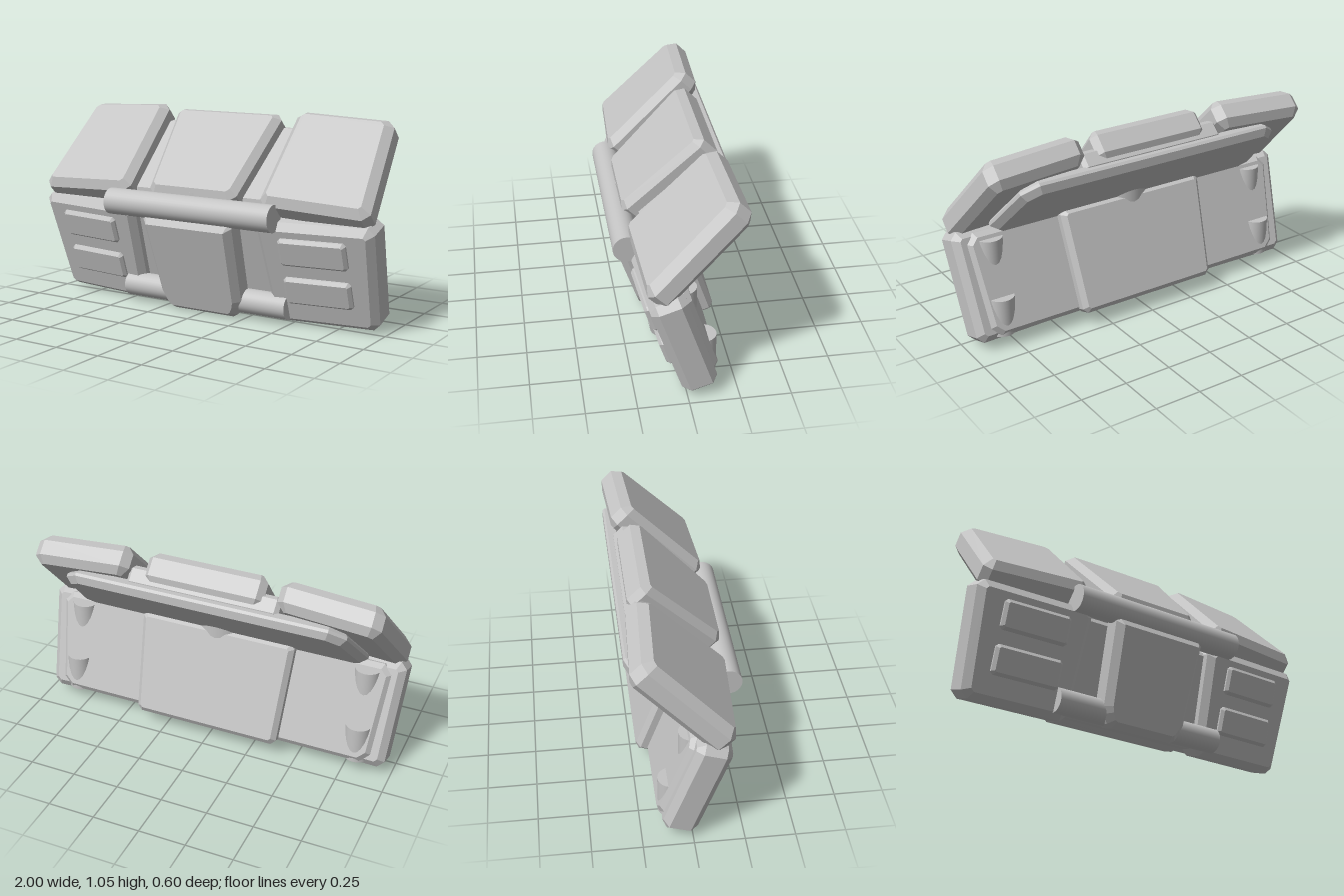
import * as THREE from 'three';

// Chamfered slab: trapezoid outline in x/y, depth z0..z1, corners cut by `cut`, rims bevelled by `bevel`.
function slab(pts, z0, z1, bevel, cut = bevel) {
  const shape = new THREE.Shape();
  pts.forEach(([x, y], i) => {
    const p = new THREE.Vector2(x, y);
    const toward = (q) => {
      const d = new THREE.Vector2(q[0], q[1]).sub(p);
      return p.clone().add(d.setLength(cut));
    };
    const a = toward(pts[(i + pts.length - 1) % pts.length]);
    const b = toward(pts[(i + 1) % pts.length]);
    if (i === 0) shape.moveTo(a.x, a.y); else shape.lineTo(a.x, a.y);
    shape.lineTo(b.x, b.y);
  });
  shape.closePath();
  const g = new THREE.ExtrudeGeometry(shape, {
    depth: z1 - z0 - 2 * bevel, bevelEnabled: true, bevelSegments: 1,
    bevelThickness: bevel, bevelSize: bevel, bevelOffset: -bevel,
  });
  g.translate(0, 0, z0 + bevel);
  return g;
}

// Symmetric outline: half width at the bottom and at the top
const trapezoid = (wb, wt, y0, y1) => [[-wb, y0], [wb, y0], [wt, y1], [-wt, y1]];

// Sweep side parts gently backwards towards their outer ends
function sweep(g, slope = 0.065) {
  const p = g.attributes.position;
  for (let i = 0; i < p.count; i++) {
    p.setZ(i, p.getZ(i) - slope * (Math.abs(p.getX(i)) - 0.4));
  }
  g.computeVertexNormals();
  return g;
}

export function createModel() {
  const model = new THREE.Group();
  model.name = 'hingedArmorCase';
  const grey = new THREE.MeshStandardMaterial({ color: 0xc4c4c4 });
  grey.name = 'lightGrey';

  const add = (parent, name, geometry) => {
    const m = new THREE.Mesh(geometry, grey);
    m.name = name;
    parent.add(m);
    return m;
  };

  // Lower half leans forward, upper half leans back
  const lower = new THREE.Group();
  lower.name = 'lowerHalf';
  lower.rotation.x = THREE.MathUtils.degToRad(18.7);
  const upper = new THREE.Group();
  upper.name = 'upperHalf';
  upper.rotation.x = -Math.PI / 4;
  model.add(lower, upper);

  // Central structure
  add(lower, 'lowerCore', slab(trapezoid(0.5, 0.5, 0.03, 0.55), -0.16, -0.02, 0.02));
  add(lower, 'backSlab', slab(trapezoid(0.89, 0.94, 0.015, 0.555), -0.19, -0.11, 0.025, 0.05));
  add(lower, 'backBox', slab(trapezoid(0.4, 0.43, 0.005, 0.56), -0.25, -0.13, 0.025));
  add(lower, 'frontClasp', slab(
    [[-0.2, 0.02], [0.2, 0.02], [0.245, 0.1], [0.27, 0.57], [-0.27, 0.57], [-0.245, 0.1]],
    -0.03, 0.118, 0.035, 0.02));

  add(upper, 'upperCore', slab(trapezoid(0.41, 0.41, 0.33, 0.83), 0.44, 0.55, 0.02));
  add(upper, 'innerPlate', slab(trapezoid(0.82, 0.75, 0.37, 0.845), 0.39, 0.47, 0.032, 0.07));
  add(upper, 'centerPanel', slab(trapezoid(0.26, 0.325, 0.285, 0.855), 0.47, 0.635, 0.035));

  // Mirrored side parts
  for (const s of [1, -1]) {
    const mirror = (pts) => pts.map(([x, y]) => [s * x, y]);
    const side = s > 0 ? 'left' : 'right';

    add(lower, side + 'LowerBlock', sweep(slab(
      mirror([[0.4, 0], [0.965, 0], [1.0, 0.575], [0.37, 0.575]]), -0.135, 0.045, 0.035)));
    add(upper, side + 'UpperBlock', sweep(slab(
      mirror([[0.395, 0.285], [0.985, 0.285], [0.925, 0.89], [0.4, 0.89]]), 0.475, 0.632, 0.04)));

    // Raised front pads
    for (const y of [0.135, 0.355]) {
      add(lower, side + 'FrontPad', sweep(slab(
        mirror([[0.5, y], [0.86, y], [0.86, y + 0.15], [0.5, y + 0.15]]), 0.01, 0.07, 0.015)));
    }

    // Upright studs emerging from the back slab
    for (const [y, z] of [[0.545, 0.01], [0.26, -0.09]]) {
      const stud = add(model, side + 'BackStud', new THREE.CylinderGeometry(0.07, 0.07, 0.2, 24));
      stud.position.set(s * 0.81, y - 0.1, z);
    }
  }

  // Large upright stud in the middle, joining both halves
  const post = add(model, 'centerPost', new THREE.CylinderGeometry(0.15, 0.15, 0.25, 32));
  post.position.set(0, 0.525, 0.075);

  // Horizontal hinge rods
  for (const [name, r, y, z] of [['upperRod', 0.07, 0.565, 0.23], ['lowerRod', 0.065, 0.08, 0.055]]) {
    const rod = add(model, name, new THREE.CylinderGeometry(r, r, 0.99, 32));
    rod.rotation.z = Math.PI / 2;
    rod.position.set(0, y, z);
  }

  return model;
}
